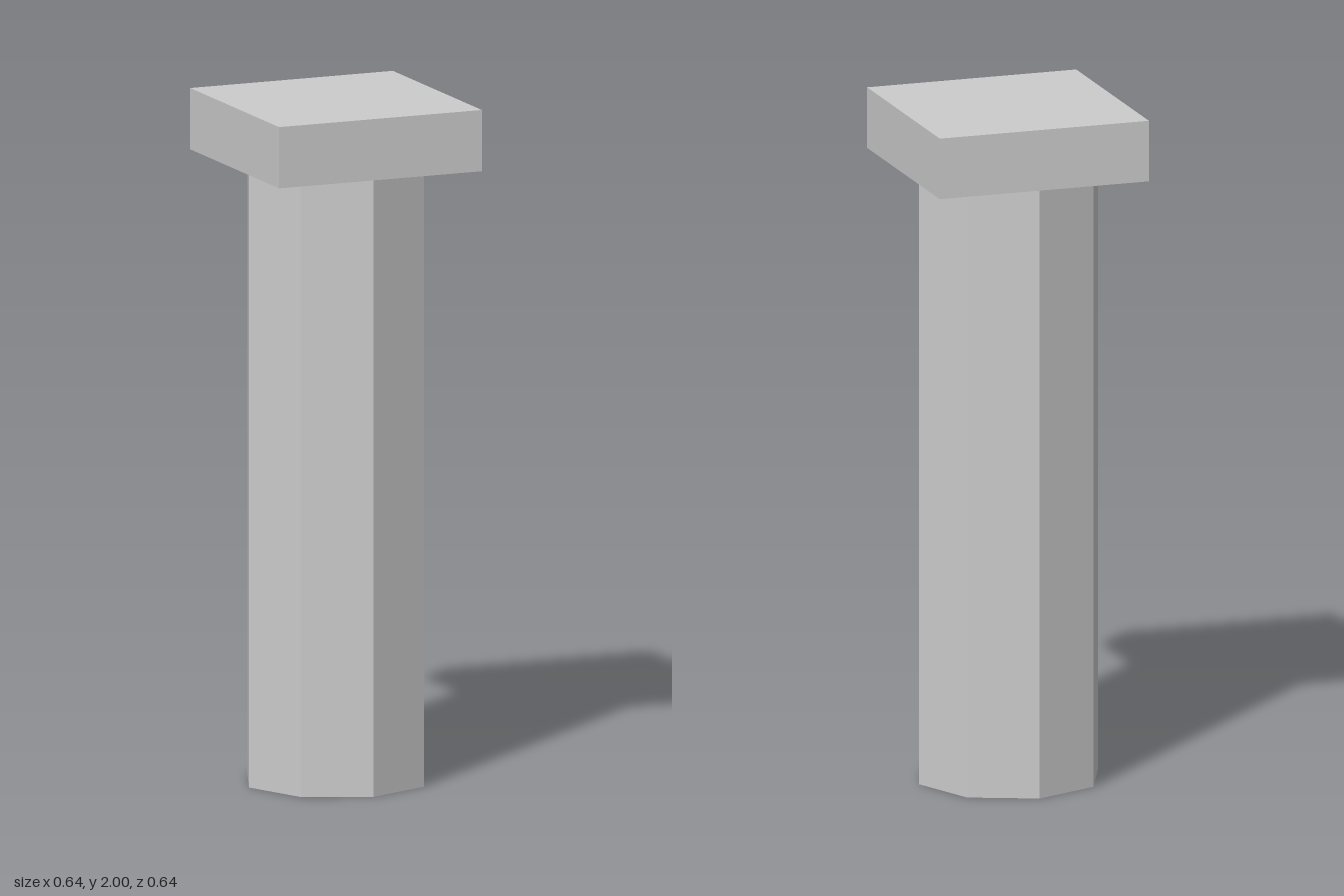
import * as THREE from 'three';

export function createModel() {
  const model = new THREE.Group();
  const material = new THREE.MeshStandardMaterial({ color: 0xcccccc, flatShading: true });
  const capBottom = 1.82;

  // Eight-sided shaft, with corners on the x and z axes
  const shaft = new THREE.Mesh(new THREE.CylinderGeometry(0.273, 0.273, capBottom, 8), material);
  shaft.name = 'shaft';
  shaft.position.set(-0.002, capBottom / 2, 0.002);

  // Square slab on top
  const capHeight = 2 - capBottom;
  const cap = new THREE.Mesh(new THREE.BoxGeometry(0.638, capHeight, 0.638), material);
  cap.name = 'cap';
  cap.position.y = capBottom + capHeight / 2;

  model.add(shaft, cap);
  return model;
}
